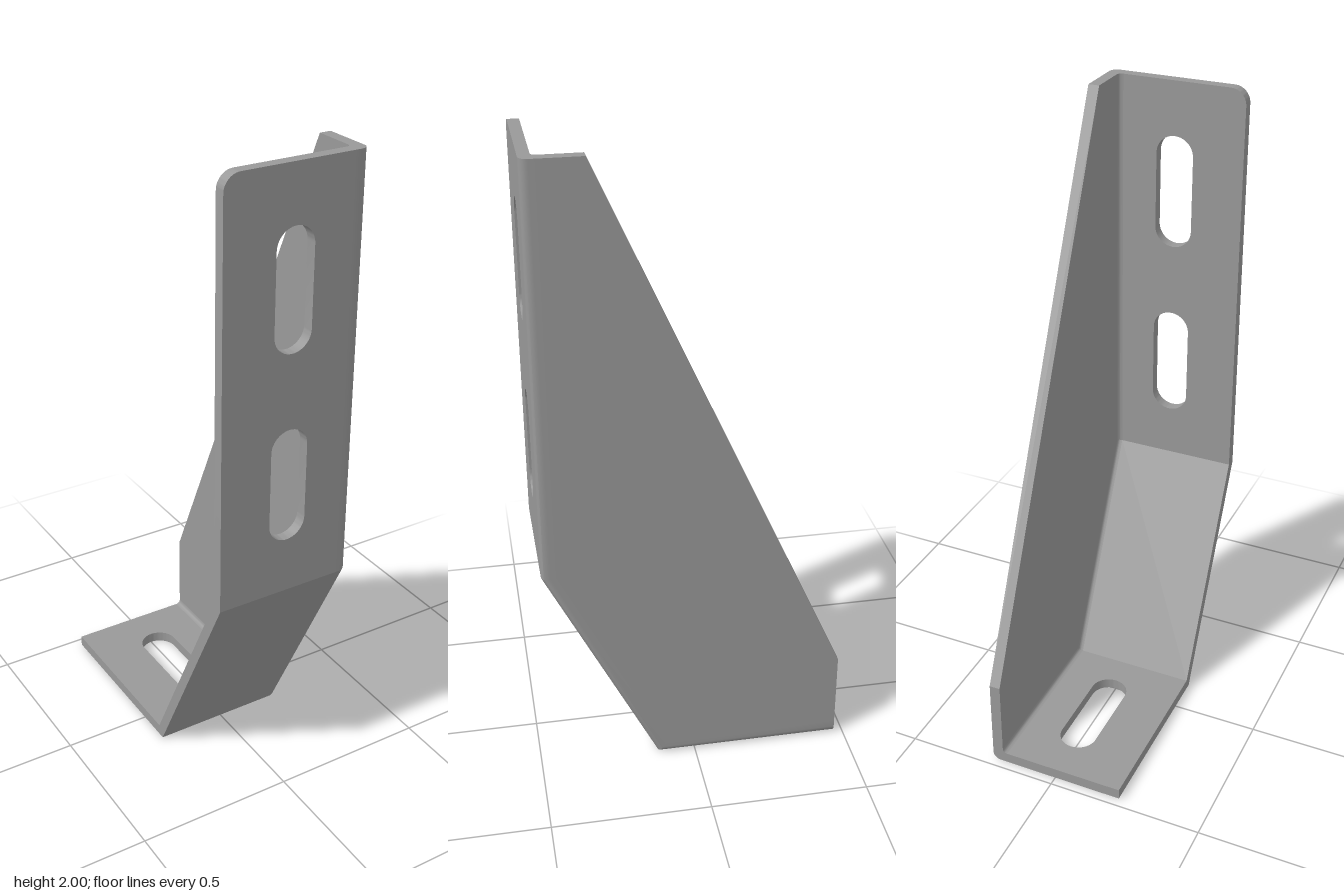
import * as THREE from 'three';
import { toCreasedNormals } from 'three/addons/utils/BufferGeometryUtils.js';

const W = 0.222;            // half width
const T = 0.035;            // sheet thickness
const R = 0.025;            // outer bend radius
const B = 0.05;             // reach of the bent edge
const FRONT = 0.47, BACK = -0.47, TOP = 2;
const KNEE = 0.71, TOE = 0.12;   // ends of the sloped part

const len = Math.hypot(FRONT - TOE, KNEE);
const nz = -KNEE / len, ny = (FRONT - TOE) / len;

// Side outline of the strip, moved inward by t: top, knee, toe, back end
function station(i, t) {
  if (i === 0) return { z: FRONT - t, y: TOP };
  if (i === 1) return { z: FRONT - t, y: (t - nz * (FRONT - t - TOE)) / ny };
  if (i === 2) return { z: TOE + (t - ny * t) / nz, y: t };
  return { z: BACK, y: t };
}

// Sweep a closed section of (x, inward offset) points through the stations
function sweep(section, first, last) {
  const pos = [];
  const put = (s, p) => { const q = station(s, p.y); pos.push(p.x, q.y, q.z); };
  const n = section.length;
  for (let s = first; s < last; s++) {
    for (let i = 0; i < n; i++) {
      const a = section[i], b = section[(i + 1) % n];
      put(s, a); put(s + 1, a); put(s + 1, b);
      put(s, a); put(s + 1, b); put(s, b);
    }
  }
  for (const [a, b, c] of THREE.ShapeUtils.triangulateShape(section, [])) {
    put(first, section[a]); put(first, section[b]); put(first, section[c]);
    put(last, section[a]); put(last, section[c]); put(last, section[b]);
  }
  const geo = new THREE.BufferGeometry();
  geo.setAttribute('position', new THREE.Float32BufferAttribute(pos, 3));
  return geo;
}

// Long slot with round ends
function slot(y0, y1, r = 0.06) {
  const p = new THREE.Path();
  p.absarc(0, y1 - r, r, 0, Math.PI, false);
  p.absarc(0, y0 + r, r, Math.PI, Math.PI * 2, false);
  p.closePath();
  return p;
}

const plate = (shape) =>
  new THREE.ExtrudeGeometry(shape, { depth: T, bevelEnabled: false, curveSegments: 14 });

// Mitre an end of a plate by a rule on its vertices
function mitre(geo, rule) {
  const p = geo.attributes.position;
  const v = new THREE.Vector3();
  for (let i = 0; i < p.count; i++) {
    rule(v.fromBufferAttribute(p, i));
    p.setXYZ(i, v.x, v.y, v.z);
  }
  return geo;
}

export function createModel() {
  const group = new THREE.Group();
  const steel = new THREE.MeshStandardMaterial({ color: 0x999999 });
  steel.name = 'grey steel';
  const add = (name, geo) => {
    const mesh = new THREE.Mesh(toCreasedNormals(geo, 0.35), steel);
    mesh.name = name;
    group.add(mesh);
  };
  const inner = W - B;

  // Upright plate with two slots and one rounded top corner
  const up = new THREE.Shape();
  up.moveTo(-W, KNEE);
  up.lineTo(inner, KNEE);
  up.lineTo(inner, TOP);
  up.lineTo(-W + 0.05, TOP);
  up.absarc(-W + 0.05, TOP - 0.05, 0.05, Math.PI / 2, Math.PI, false);
  up.holes.push(slot(0.885, 1.24), slot(1.47, 1.83));
  const upGeo = plate(up).translate(0, 0, FRONT - T);
  add('uprightPlate', mitre(upGeo, (v) => {
    if (v.y < KNEE + 0.02) v.y = station(1, FRONT - v.z).y;
  }));

  // Sloped plate between upright and base
  add('slopedPlate', sweep([
    new THREE.Vector2(-W, 0), new THREE.Vector2(inner, 0),
    new THREE.Vector2(inner, T), new THREE.Vector2(-W, T),
  ], 1, 2));

  // Base plate with one slot
  const base = new THREE.Shape();
  base.moveTo(-W, -TOE);
  base.lineTo(inner, -TOE);
  base.lineTo(inner, -BACK);
  base.lineTo(-W, -BACK);
  base.holes.push(slot(0, 0.355));
  const baseGeo = plate(base).rotateX(-Math.PI / 2);
  add('basePlate', mitre(baseGeo, (v) => {
    if (v.z > TOE - 0.02) v.z = station(2, v.y).z;
  }));

  // Rounded bend joining the strip to the side plate
  const section = [new THREE.Vector2(inner, 0)];
  for (let i = 0; i <= 6; i++) {
    const a = (i / 6) * Math.PI / 2;
    section.push(new THREE.Vector2(W - R + R * Math.sin(a), R - R * Math.cos(a)));
  }
  section.push(new THREE.Vector2(W, B));
  const r = B - T;
  for (let i = 0; i <= 6; i++) {
    const a = (i / 6) * Math.PI / 2;
    section.push(new THREE.Vector2(inner + r * Math.cos(a), B - r * Math.sin(a)));
  }
  add('bentEdge', sweep(section, 0, 3));

  // Side plate with the long slanted edge
  const side = new THREE.Shape();
  [0, 1, 2, 3].forEach((i) => {
    const q = station(i, B);
    if (i === 0) side.moveTo(-q.z, q.y);
    else side.lineTo(-q.z, q.y);
  });
  side.lineTo(-BACK, 0.3);
  side.lineTo(-0.295, TOP);
  add('sidePlate', plate(side).rotateY(Math.PI / 2).translate(W - T, 0, 0));

  return group;
}
